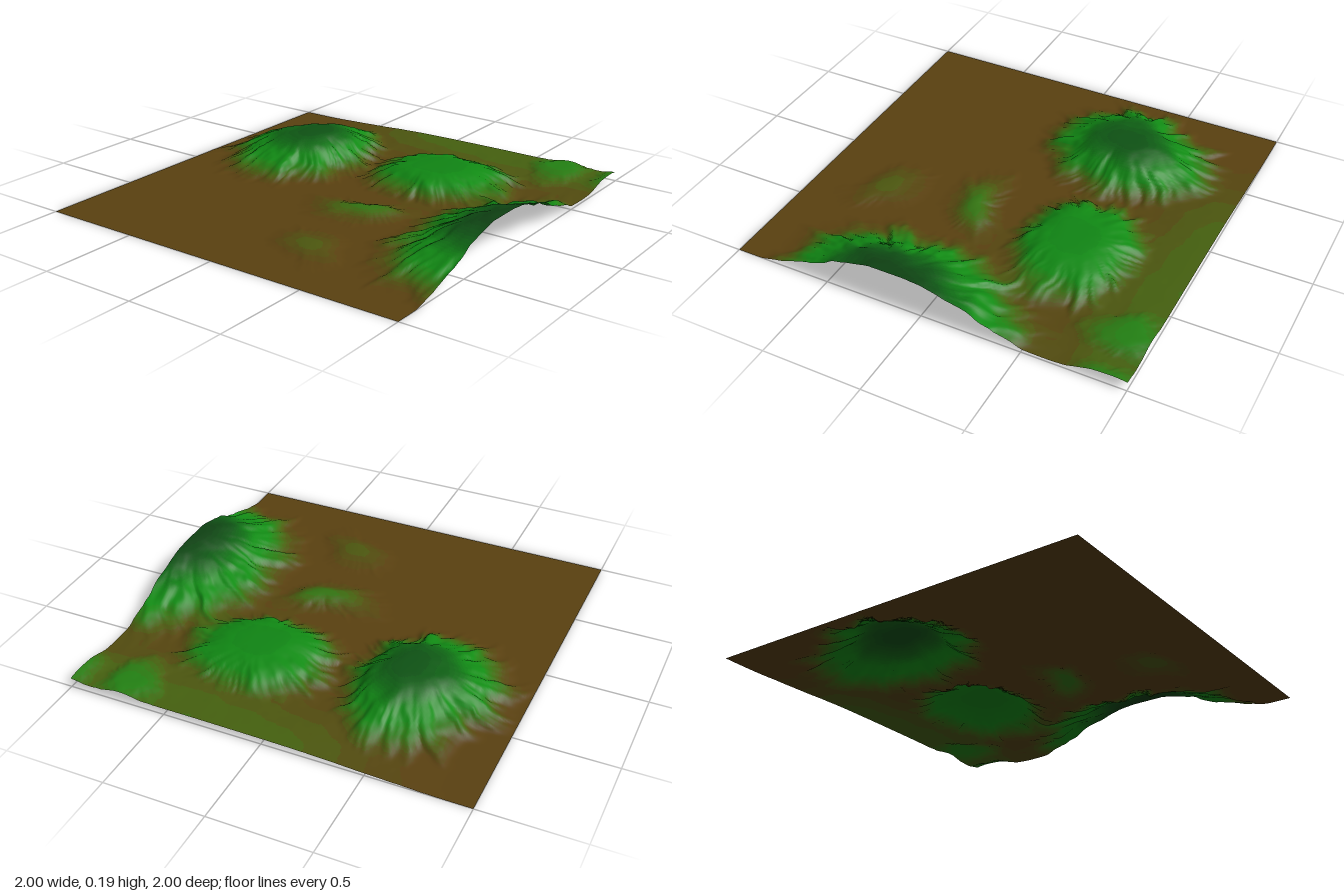
import * as THREE from 'three';

const CELLS = 190, BANDS = 28, TOP = 0.19;
const { lerp, smoothstep, clamp } = THREE.MathUtils;

// seeded lattice noise in the range -1..1
function hash(i, j) {
  let n = Math.imul(i, 374761393) ^ Math.imul(j, 668265263);
  n = Math.imul(n ^ (n >>> 13), 1274126177);
  return ((n ^ (n >>> 16)) >>> 0) / 2147483647.5 - 1;
}
function noise(x, y) {
  const i = Math.floor(x), j = Math.floor(y);
  const u = smoothstep(x - i, 0, 1), v = smoothstep(y - j, 0, 1);
  return lerp(lerp(hash(i, j), hash(i + 1, j), u),
    lerp(hash(i, j + 1), hash(i + 1, j + 1), u), v);
}

// hills: centre, height, roundness of the top, outline radius every 30 degrees from +x towards +z
const hills = [
  { x: 0.37, z: -0.46, h: 0.16, round: 1.3,
    radii: [0.54, 0.45, 0.39, 0.38, 0.39, 0.45, 0.53, 0.58, 0.56, 0.55, 0.47, 0.54] },
  { x: 0.42, z: 0.28, h: 0.098, round: 1.7,
    radii: [0.36, 0.4, 0.48, 0.47, 0.43, 0.36, 0.33, 0.38, 0.43, 0.42, 0.43, 0.4] },
  { x: -0.18, z: 1.02, h: 0.19, round: 1.1,
    radii: [0.86, 0.86, 0.7, 0.6, 0.6, 0.66, 0.7, 0.74, 0.62, 0.58, 0.62, 0.72] },
  { x: -0.15, z: 0.24, h: 0.042, round: 1,
    radii: [0.17, 0.24, 0.28, 0.2, 0.18, 0.17, 0.18, 0.2, 0.32, 0.42, 0.25, 0.17] },
  { x: -0.6, z: 0.26, h: 0.024, round: 1,
    radii: [0.19, 0.19, 0.18, 0.2, 0.32, 0.3, 0.2, 0.18, 0.2, 0.26, 0.28, 0.22] },
  { x: 0.87, z: 0.74, h: 0.026, round: 1.5,
    radii: [0.28, 0.2, 0.15, 0.14, 0.15, 0.2, 0.24, 0.2, 0.17, 0.17, 0.2, 0.26] },
  { x: 0.9, z: 1.04, h: 0.025, round: 1.3,
    radii: [0.24, 0.2, 0.16, 0.14, 0.16, 0.2, 0.22, 0.2, 0.16, 0.14, 0.16, 0.2] }
];

function hillHeight(hill, x, z) {
  const dx = x - hill.x, dz = z - hill.z, r = Math.hypot(dx, dz);
  const a = (Math.atan2(dz, dx) / (2 * Math.PI) + 1) % 1 * 12, k = Math.floor(a);
  const radius = lerp(hill.radii[k % 12], hill.radii[(k + 1) % 12], smoothstep(a - k, 0, 1));
  // gullies run down the slope: fine around the hill, long along the radius
  const cx = dx / (r + 0.001), cz = dz / (r + 0.001);
  const gully = noise(cx * 9 + r * 3 + 31, cz * 9 - r * 3 + 17) * 0.07
    + noise(cx * 19 + r * 7, cz * 19 + r * 5 + 53) * 0.045;
  const t = r / (radius * (1 + gully * smoothstep(r / radius, 0.15, 0.7)));
  return t < 1 ? hill.h * 0.5 * (1 + Math.cos(Math.PI * Math.pow(t, hill.round))) : 0;
}

function terrainHeight(x, z) {
  const wx = x + 0.025 * noise(x * 9, z * 9) + 0.008 * noise(x * 24, z * 24);
  const wz = z + 0.025 * noise(x * 9 + 40, z * 9) + 0.008 * noise(x * 24, z * 24 + 40);
  // low shelf along the left side and a faint rise in the middle
  let y = 0.026 * smoothstep(wx, 0.45, 1) * smoothstep(wz, -0.95, -0.1);
  y += 0.008 * smoothstep(wx, -0.7, 0.3) * smoothstep(wz, -0.5, 0.4);
  for (const hill of hills) y += hillHeight(hill, wx, wz);
  return clamp(y, 0, TOP);
}

// brown lowland, bright green slopes, dark green summits
const ramp = [[0, 0x5a4110], [0.015, 0x54480f], [0.03, 0x46600f], [0.048, 0x2c7812],
  [0.07, 0x128c14], [0.1, 0x108a14], [0.13, 0x0f6c14], [0.16, 0x0e5214], [0.19, 0x0e3e12]]
  .map(([y, c]) => [y, new THREE.Color(c)]);
function colorAt(y) {
  let i = 0;
  while (i < ramp.length - 2 && y > ramp[i + 1][0]) i++;
  const [y0, c0] = ramp[i], [y1, c1] = ramp[i + 1];
  return c0.clone().lerp(c1, clamp((y - y0) / (y1 - y0), 0, 1));
}

export function createModel() {
  const group = new THREE.Group();
  group.name = 'terrain';

  // one square sheet raised by the height rule
  const sheet = new THREE.PlaneGeometry(2, 2, CELLS, CELLS).rotateX(-Math.PI / 2);
  const pos = sheet.attributes.position;
  for (let i = 0; i < pos.count; i++) pos.setY(i, terrainHeight(pos.getX(i), pos.getZ(i)));
  sheet.computeVertexNormals();

  // sort the triangles into height bands, one colour each, keeping the smooth normals
  const bands = Array.from({ length: BANDS }, () => []);
  const index = sheet.index.array;
  for (let i = 0; i < index.length; i += 3) {
    const tri = [index[i], index[i + 1], index[i + 2]];
    const y = tri.reduce((sum, v) => sum + pos.getY(v), 0) / 3;
    bands[Math.min(BANDS - 1, Math.floor(y / TOP * BANDS))].push(...tri);
  }
  bands.forEach((tris, b) => {
    if (!tris.length) return;
    const part = sheet.clone();
    part.setIndex(tris);
    const y = (b + 0.5) / BANDS * TOP;
    const material = new THREE.MeshStandardMaterial({
      color: colorAt(b === 0 ? 0 : y), side: THREE.DoubleSide
    });
    const mesh = new THREE.Mesh(part.toNonIndexed(), material);
    mesh.name = (y < 0.03 ? 'lowland' : y < 0.13 ? 'slope' : 'summit') + 'Band' + (b + 1);
    group.add(mesh);
  });
  return group;
}
